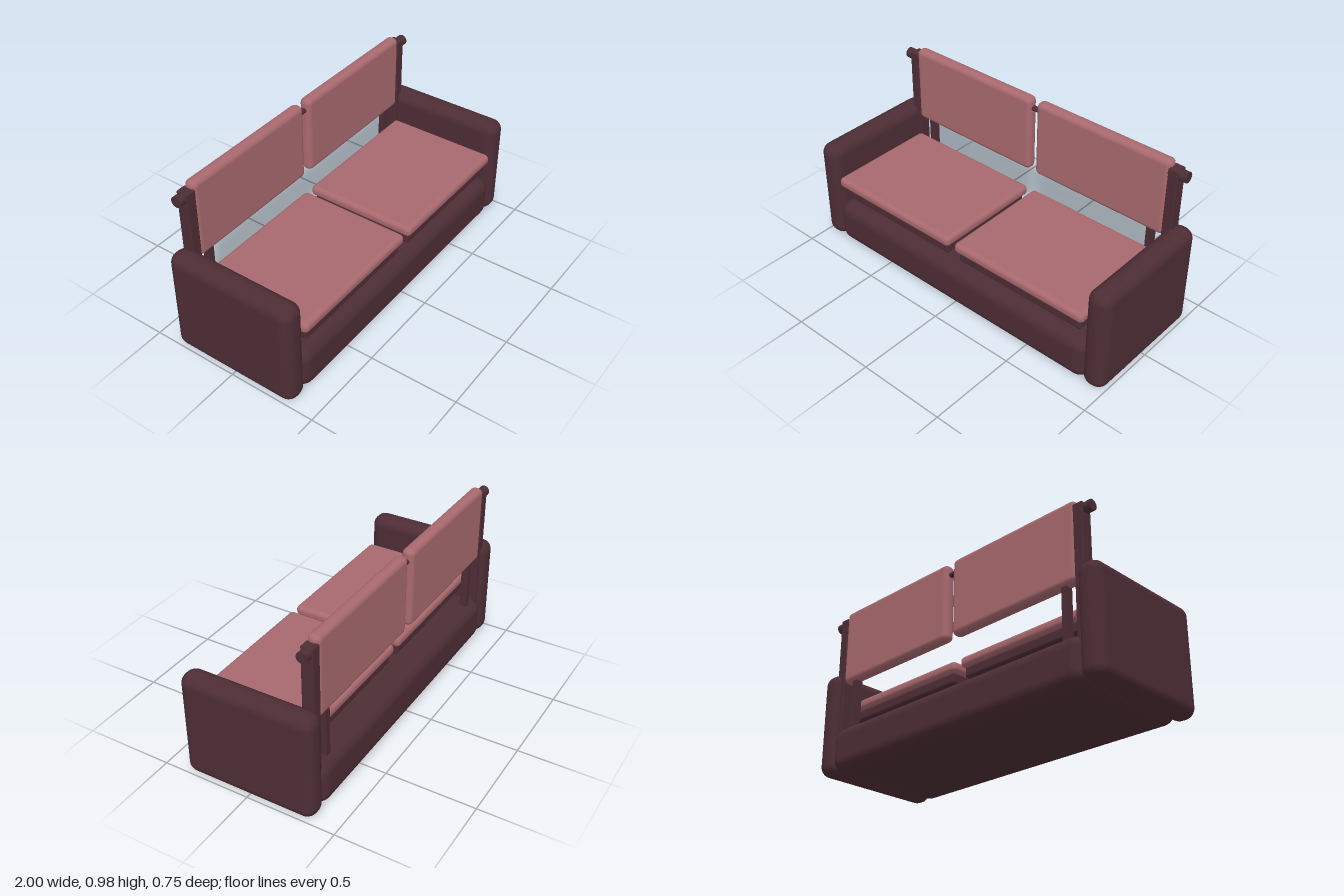
import * as THREE from 'three';
import { RoundedBoxGeometry } from 'three/addons/geometries/RoundedBoxGeometry.js';

const frame = new THREE.MeshStandardMaterial({ name: 'dark plum frame', color: 0x4d2d35 });
const cushion = new THREE.MeshStandardMaterial({ name: 'dusty rose cushion', color: 0xa8696e });

// Box given by its [min, max] extents, with rounded edges when radius > 0
function block(name, material, [x0, x1], [y0, y1], [z0, z1], radius = 0) {
  const size = [x1 - x0, y1 - y0, z1 - z0];
  const geometry = radius
    ? new RoundedBoxGeometry(...size, 5, radius)
    : new THREE.BoxGeometry(...size);
  const mesh = new THREE.Mesh(geometry, material);
  mesh.name = name;
  mesh.position.set((x0 + x1) / 2, (y0 + y1) / 2, (z0 + z1) / 2);
  return mesh;
}

// Horizontal bar running along x
function bar(name, x0, x1, radius) {
  const geometry = new THREE.CylinderGeometry(radius, radius, x1 - x0, 24).rotateZ(Math.PI / 2);
  const mesh = new THREE.Mesh(geometry, frame);
  mesh.name = name;
  mesh.position.set((x0 + x1) / 2, 0.914, -0.31);
  return mesh;
}

export function createModel() {
  const sofa = new THREE.Group();
  sofa.name = 'sofa';

  // Low plinth and the rail that carries the backrests
  sofa.add(block('base', frame, [-0.89, 0.89], [0, 0.255], [-0.375, 0.375], 0.07));
  sofa.add(bar('backRail', -0.87, 0.87, 0.015));

  for (const side of [-1, 1]) {
    const label = side > 0 ? 'left' : 'right';
    // Extents measured outwards from the centre, mirrored for the other side
    const span = (a, b) => (side > 0 ? [a, b] : [-b, -a]);

    sofa.add(block(label + 'Arm', frame, span(0.865, 1), [0, 0.602], [-0.375, 0.375], 0.06));

    // Seat: soft cushion on a smaller support
    sofa.add(block(label + 'SeatCushion', cushion, span(0.02, 0.858), [0.37, 0.43], [-0.28, 0.37], 0.025));
    sofa.add(block(label + 'SeatSupport', frame, span(0.04, 0.837), [0.312, 0.375], [-0.26, 0.35], 0.015));

    // Backrest with its posts and the projecting rail end
    sofa.add(block(label + 'BackCushion', cushion, span(0.02, 0.858), [0.528, 0.977], [-0.345, -0.275], 0.03));
    sofa.add(block(label + 'OuterPost', frame, span(0.848, 0.905), [0.2, 0.943], [-0.344, -0.276], 0.006));
    sofa.add(block(label + 'InnerPost', frame, span(0.752, 0.786), [0.2, 0.56], [-0.33, -0.29]));
    sofa.add(bar(label + 'RailEnd', ...span(0.84, 0.946), 0.03));
  }
  return sofa;
}
